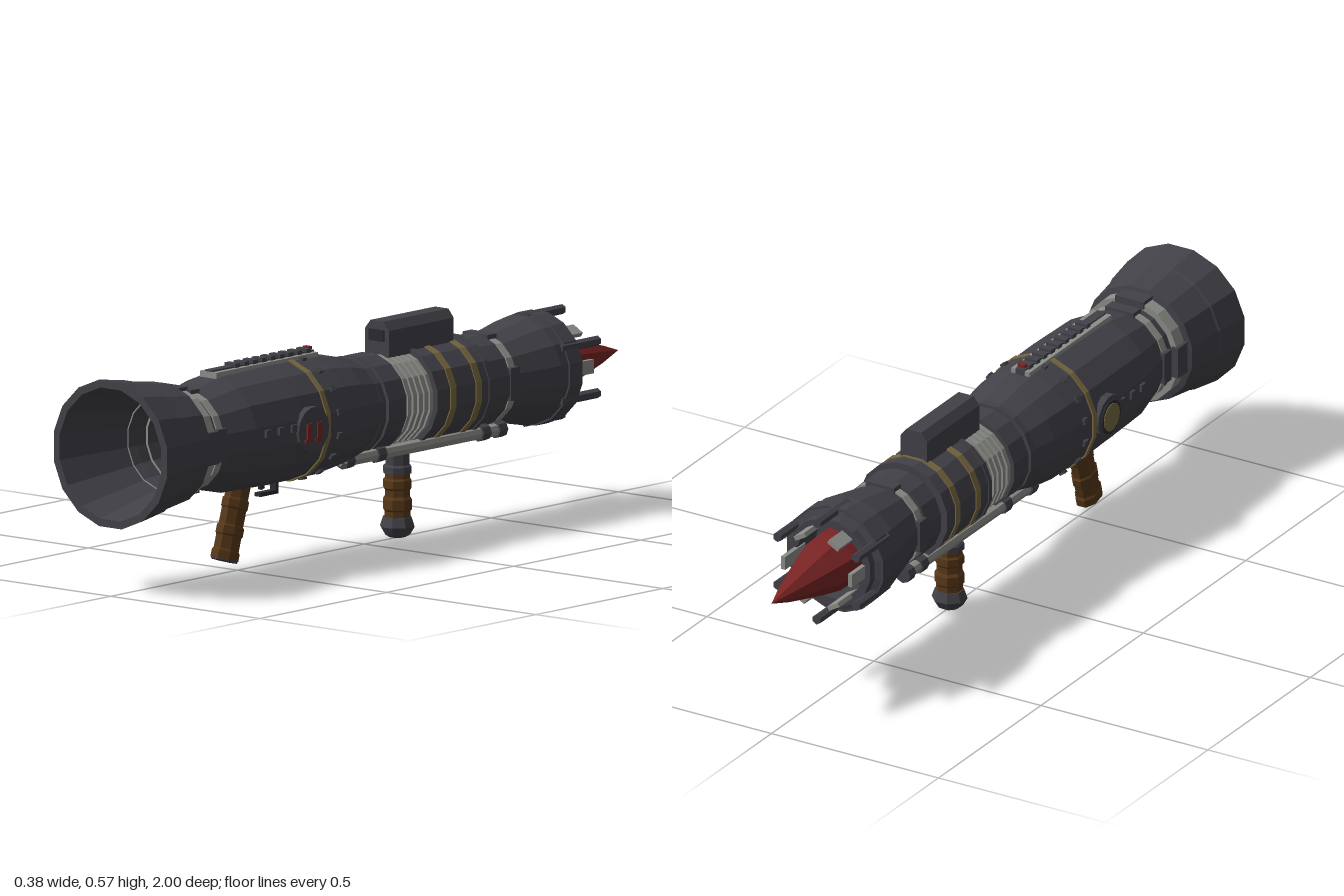
import * as THREE from 'three';

const AXIS = 0.3675; // height of the barrel axis
const SIDES = 16;

export function createModel() {
  const root = new THREE.Group();
  root.name = 'shoulderLauncher';
  const mat = (name, color) => {
    const m = new THREE.MeshStandardMaterial({ color });
    m.name = name;
    return m;
  };
  const gunmetal = mat('gunmetal', 0x424148);
  const steel = mat('steel', 0x8c8e89);
  const brass = mat('brass', 0x77683f);
  const wood = mat('wood', 0x573819);
  const red = mat('red', 0x7a2424);
  const black = mat('blackSteel', 0x2b2a2f);

  const add = (name, geo, material, parent = root) => {
    const flat = geo.index ? geo.toNonIndexed() : geo;
    flat.computeVertexNormals();
    const m = new THREE.Mesh(flat, material);
    m.name = name;
    parent.add(m);
    return m;
  };
  const box = (name, w, h, d, x, y, z, material, parent) => {
    const m = add(name, new THREE.BoxGeometry(w, h, d), material, parent);
    m.position.set(x, y, z);
    return m;
  };
  // Faceted solid around the barrel axis, profile of [radius, z] with z rising on the outside
  const barrel = (name, material, profile, sides = SIDES) => {
    const k = 1 / Math.cos(Math.PI / sides);
    const pts = profile.map(([r, z]) => new THREE.Vector2(r * k, z));
    const g = new THREE.LatheGeometry(pts, sides, Math.PI / sides).rotateX(Math.PI / 2);
    const m = add(name, g, material);
    m.position.y = AXIS;
    return m;
  };
  const ring = (name, material, r, z0, z1) =>
    barrel(name, material, [[r - 0.025, z0], [r, z0], [r, z1], [r - 0.025, z1]]);
  // Rod along z
  const rod = (name, material, r, x, y, z0, z1, sides = 8) => {
    const g = new THREE.CylinderGeometry(r, r, z1 - z0, sides).rotateX(Math.PI / 2);
    const m = add(name, g, material);
    m.position.set(x, y, (z0 + z1) / 2);
    return m;
  };
  // Calls fn(x, y, angle) at points spaced around the axis
  const around = (n, r, start, fn) => {
    for (let i = 0; i < n; i++) {
      const a = start + (i * 2 * Math.PI) / n;
      fn(r * Math.cos(a), AXIS + r * Math.sin(a), a);
    }
  };

  // Main hull: open rear cup, stepped barrel, flared bell with a deep bore
  barrel('hull', gunmetal, [
    [0, -0.62], [0.098, -0.62], [0.098, -0.715], [0.12, -0.715], [0.122, -0.695], [0.138, -0.69], [0.14, -0.61],
    [0.112, -0.47], [0.108, -0.43], [0.108, -0.36], [0.112, -0.13], [0.108, -0.02], [0.108, 0.065],
    [0.122, 0.07], [0.142, 0.15], [0.152, 0.23], [0.154, 0.42], [0.15, 0.6], [0.128, 0.7],
    [0.126, 0.75], [0.138, 0.79], [0.158, 0.795], [0.172, 0.9], [0.176, 0.905], [0.19, 1],
    [0.17, 1], [0.115, 0.76], [0.102, 0.6], [0, 0.6],
  ]);
  barrel('boreRing', steel, [[0.066, 0.604], [0.038, 0.604]]);

  // Barrel collars
  ring('rearCollar', gunmetal, 0.118, -0.435, -0.365);
  ring('sightCollar', gunmetal, 0.127, -0.355, -0.135);
  ring('middleCollar', gunmetal, 0.125, -0.02, 0.05);
  ring('bodyLip', gunmetal, 0.126, 0.062, 0.082);
  ring('cupBand', gunmetal, 0.144, -0.69, -0.64);
  for (const z of [-0.355, -0.15]) ring('collarLip', gunmetal, 0.13, z, z + 0.015);
  for (const z of [-0.3, -0.2]) ring('brassBand', brass, 0.13, z - 0.011, z + 0.011);
  ring('bodyBrassBand', brass, 0.157, 0.316, 0.332);

  // Ribbed steel sleeve
  ring('sleeve', steel, 0.114, -0.14, -0.02);
  for (let i = 0; i < 5; i++) ring('sleeveRib', steel, 0.12, -0.13 + i * 0.022, -0.118 + i * 0.022);

  // Steel rings held by dark clamps
  for (const [r, z0, z1] of [[0.143, 0.752, 0.79], [0.131, 0.705, 0.728], [0.116, -0.465, -0.442]]) {
    ring('steelRing', steel, r, z0, z1);
    around(4, r - 0.006, 0, (x, y, a) => {
      box('ringClamp', 0.02, 0.085, z1 - z0 + 0.012, x, y, (z0 + z1) / 2, gunmetal).rotation.z = a;
    });
  }

  // Bolts around the body
  around(16, 0.154, Math.PI / 16, (x, y, a) => {
    box('bodyBolt', 0.016, 0.016, 0.016, x, y, 0.28, gunmetal).rotation.z = a;
  });
  for (const s of [-1, 1]) {
    for (const z of [0.46, 0.51, 0.56]) box('sideBolt', 0.014, 0.02, 0.02, s * 0.152, AXIS + 0.012, z, gunmetal);
  }

  // Side medallions: red bars on the left, brass disc on the right
  for (const s of [-1, 1]) {
    const disc = (name, r, h, x, material) => {
      const g = new THREE.CylinderGeometry(r, r, h, 14).rotateZ(Math.PI / 2);
      add(name, g, material).position.set(s * x, AXIS, 0.39);
    };
    disc('medallion', 0.06, 0.02, 0.153, gunmetal);
    if (s < 0) {
      disc('medallionRim', 0.046, 0.004, 0.164, black);
      disc('medallionDisc', 0.038, 0.006, 0.165, brass);
    } else {
      for (const z of [0.37, 0.41]) {
        box('redBar', 0.006, 0.046, 0.018, 0.164, AXIS - 0.005, z, red);
        box('redBarTip', 0.006, 0.008, 0.026, 0.164, AXIS - 0.026, z + 0.004, red);
      }
    }
  }

  // Warhead and the prongs that hold it
  barrel('warhead', red, [[0, -1], [0.022, -0.93], [0.042, -0.85], [0.06, -0.775], [0.073, -0.71], [0.073, -0.62]], 8);
  around(6, 0.136, Math.PI / 6, (x, y) => rod('prong', gunmetal, 0.013, x, y, -0.78, -0.63, 6));
  around(6, 0.1, 0, (x, y, a) => {
    box('prongPlate', 0.012, 0.036, 0.1, x, y, -0.73, steel).rotation.z = a;
  });

  // Sight housing on top
  const housing = new THREE.Shape([
    [-0.04, 0.48], [0.04, 0.48], [0.04, 0.55], [0.022, 0.572], [-0.022, 0.572], [-0.04, 0.55],
  ].map(([x, y]) => new THREE.Vector2(x, y)));
  add('sightHousing', new THREE.ExtrudeGeometry(housing, { depth: 0.255, bevelEnabled: false }), gunmetal)
    .position.z = -0.305;
  box('sightLens', 0.05, 0.03, 0.006, 0, 0.535, -0.049, black);

  // Toothed top rail
  box('railBase', 0.056, 0.02, 0.4, 0, 0.52, 0.415, steel);
  box('railBar', 0.026, 0.024, 0.4, 0, 0.522, 0.413, gunmetal);
  for (let i = 0; i < 9; i++) box('railTooth', 0.036, 0.012, 0.018, 0, 0.535, 0.24 + i * 0.035, gunmetal);
  box('railMark', 0.02, 0.008, 0.014, 0, 0.54, 0.225, red);

  // Under-barrel rods with brackets
  for (const s of [-1, 1]) {
    rod('lowerRod', steel, 0.017, s * 0.065, 0.245, -0.435, 0.165);
    for (const z of [-0.45, -0.385, 0.025, 0.15]) rod('rodBracket', gunmetal, 0.022, s * 0.065, 0.245, z - 0.015, z + 0.015);
  }
  box('lowerBar', 0.04, 0.018, 0.69, 0, 0.232, -0.14, gunmetal);
  for (const z of [-0.385, 0.025]) box('crossBracket', 0.12, 0.03, 0.03, 0, 0.245, z, gunmetal);

  // Eight-sided upright solid from [radius, y] points, rising on the outside
  const post = (name, material, profile, parent) => {
    const pts = profile.map(([r, y]) => new THREE.Vector2(r / Math.cos(Math.PI / 8), y));
    return add(name, new THREE.LatheGeometry(pts, 8, Math.PI / 8), material, parent);
  };

  // Front grip
  const frontGrip = new THREE.Group();
  frontGrip.name = 'frontGrip';
  frontGrip.position.z = -0.13;
  root.add(frontGrip);
  post('gripPommel', gunmetal, [[0, 0], [0.02, 0.002], [0.032, 0.01], [0.043, 0.03], [0.035, 0.055], [0, 0.055]], frontGrip);
  post('gripWood', wood, [[0.032, 0.05], [0.032, 0.07], [0.036, 0.075], [0.036, 0.1], [0.031, 0.108],
    [0.031, 0.125], [0.035, 0.13], [0.035, 0.15], [0.031, 0.155], [0.031, 0.172]], frontGrip);
  post('gripCollar', gunmetal, [[0, 0.168], [0.035, 0.168], [0.035, 0.185], [0.03, 0.19], [0.03, 0.24]], frontGrip);

  // Rear grip, raked towards the muzzle
  const rearGrip = new THREE.Group();
  rearGrip.name = 'rearGrip';
  rearGrip.position.set(0, 0.035, 0.552);
  rearGrip.rotation.x = -0.3;
  rearGrip.scale.set(0.75, 1, 1.05);
  root.add(rearGrip);
  post('rearGripWood', wood, [[0, 0], [0.04, 0], [0.04, 0.02], [0.036, 0.026], [0.036, 0.06], [0.039, 0.065],
    [0.039, 0.085], [0.035, 0.09], [0.035, 0.13], [0.038, 0.135], [0.038, 0.155], [0.034, 0.16], [0.034, 0.22]], rearGrip);
  post('rearGripCap', gunmetal, [[0, -0.004], [0.037, -0.004], [0.037, 0.001]], rearGrip);

  // Trigger and guard
  box('triggerGuardPost', 0.02, 0.06, 0.01, 0, 0.21, 0.355, black);
  box('triggerGuardBase', 0.02, 0.01, 0.07, 0, 0.185, 0.385, black);
  box('trigger', 0.012, 0.035, 0.012, 0, 0.215, 0.41, black).rotation.x = 0.3;

  return root;
}
